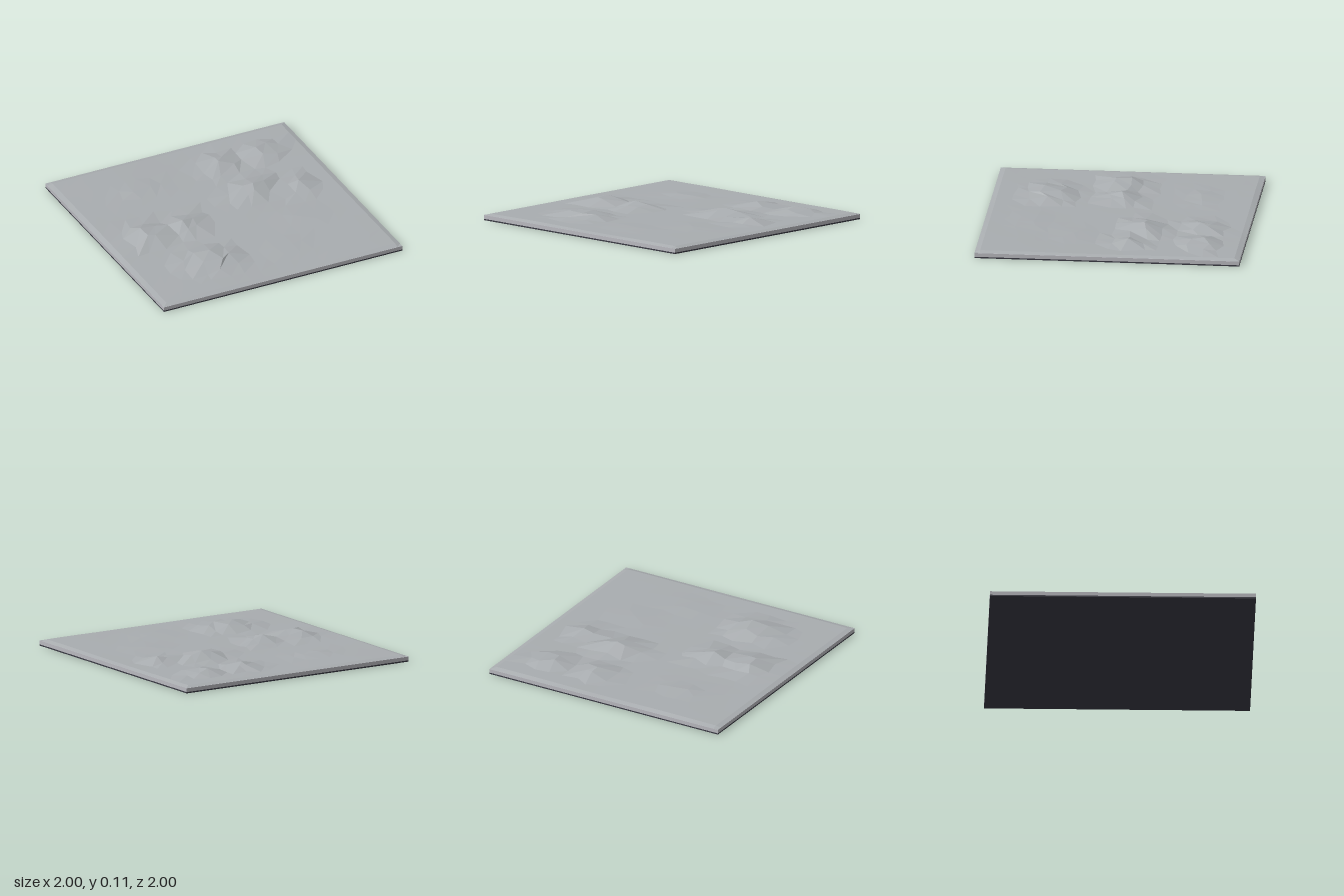
import * as THREE from 'three';

const rock = new THREE.MeshStandardMaterial({ color: 0xa9adb0 });
rock.name = 'greyRock';
rock.flatShading = true;
const slabGrey = new THREE.MeshStandardMaterial({ color: 0xb9b9bf });
slabGrey.name = 'paleSlab';
const darkBase = new THREE.MeshStandardMaterial({ color: 0x3b3b45 });
darkBase.name = 'darkBase';

// Hills: centre x, centre z, radius x, radius z, height, turn
const hills = [
  [-0.66, 0.03, 0.24, 0.23, 0.058, 0.2],
  [-0.36, 0.02, 0.24, 0.2, 0.052, -0.3],
  [-0.39, 0.56, 0.34, 0.25, 0.054, 0.2],
  [0.35, -0.22, 0.3, 0.2, 0.055, -0.35],
  [0.69, -0.13, 0.19, 0.19, 0.042, 0.2],
  [0.27, -0.64, 0.23, 0.22, 0.042, 0.1],
  [0.67, -0.67, 0.21, 0.18, 0.048, 0.3],
  [-0.42, -0.57, 0.27, 0.16, 0.012, 0],
  [0.2, 0.64, 0.36, 0.26, 0.007, 0],
  [0.5, 0.3, 0.32, 0.24, 0.006, 0],
];

function heightAt(x, z) {
  let y = 0.05 + 0.0025 * Math.sin(x * 5 + 1) * Math.cos(z * 4);
  let hill = 0;
  for (const [cx, cz, rx, rz, h, turn] of hills) {
    const c = Math.cos(turn), s = Math.sin(turn);
    const u = ((x - cx) * c + (z - cz) * s) / rx;
    const v = ((z - cz) * c - (x - cx) * s) / rz;
    const d = Math.hypot(u, v);
    // rounded cone with a soft foot
    if (d < 1) hill = Math.max(hill, h * (0.5 + 0.5 * Math.cos(Math.PI * d)));
  }
  return y + hill;
}

function makeRandom(seed) {
  return () => {
    seed = (seed * 16807) % 2147483647;
    return seed / 2147483647;
  };
}

// Faceted ground: irregular grid with a narrow sloped rim
function makeTerrain() {
  const n = 18, random = makeRandom(77);
  const geo = new THREE.PlaneGeometry(2, 2, n, n).rotateX(-Math.PI / 2);
  const pos = geo.attributes.position;
  const step = 1.92 / (n - 2);
  const place = i => (i === 0 ? -1 : i === n ? 1 : -0.96 + step * (i - 1));
  for (let k = 0; k < pos.count; k++) {
    const i = k % (n + 1), j = Math.floor(k / (n + 1));
    let x = place(i), z = place(j);
    const rim = i === 0 || j === 0 || i === n || j === n;
    if (i > 1 && i < n - 1 && j > 1 && j < n - 1) {
      x += (random() - 0.5) * step * 0.6;
      z += (random() - 0.5) * step * 0.6;
      // pull the nearest points onto the summits
      for (const [cx, cz] of hills) {
        if (Math.hypot(x - cx, z - cz) < step * 0.5) { x = cx; z = cz; break; }
      }
    }
    pos.setXYZ(k, x, rim ? 0.04 : heightAt(x, z), z);
  }
  const flat = geo.toNonIndexed();
  flat.computeVertexNormals();
  return flat;
}

function addMesh(group, name, geometry, material, y = 0) {
  const mesh = new THREE.Mesh(geometry, material);
  mesh.name = name;
  mesh.position.y = y;
  group.add(mesh);
}

export function createModel() {
  const group = new THREE.Group();
  group.name = 'terrainTile';
  // Stacked square layers
  addMesh(group, 'bottomLayer', new THREE.BoxGeometry(2, 0.01, 2), darkBase, 0.005);
  addMesh(group, 'slab', new THREE.BoxGeometry(2, 0.029, 2), slabGrey, 0.0245);
  // Rocky ground with low hills
  addMesh(group, 'terrain', makeTerrain(), rock);
  return group;
}
